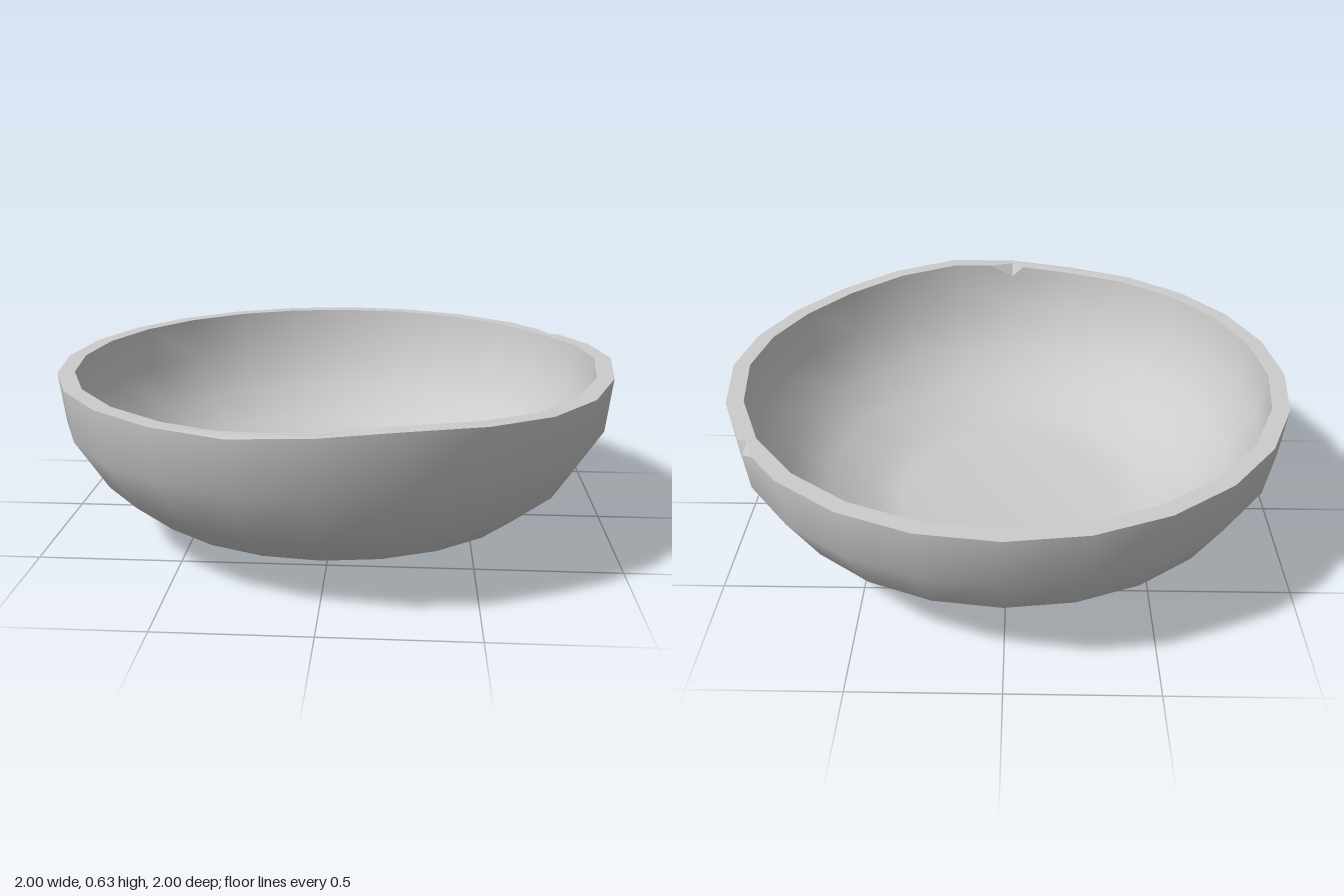
import * as THREE from 'three';

const SIDES = 24;
// Uneven rim: extra height at a few of the 24 corners (0 = +x, 6 = front)
const LIFT = { 0: 0.02, 1: 0.01, 2: 0.003, 3: 0.007, 4: 0.021, 5: 0.032, 6: 0.018, 23: 0.01 };
const RIM_Y = 0.6;

function ringPoint(k, r, y) {
  const a = (k / SIDES) * Math.PI * 2;
  return new THREE.Vector3(r * Math.cos(a), y, r * Math.sin(a));
}

function meshFrom(name, points, index, material) {
  const g = new THREE.BufferGeometry().setFromPoints(points);
  g.setIndex(index);
  g.computeVertexNormals();
  const mesh = new THREE.Mesh(g, material);
  mesh.name = name;
  return mesh;
}

// Smooth wall from a bottom-to-top profile, with one corner of its top edge chipped off.
// Returns the wall, the two chip faces and the edge loop that the rim has to follow.
function wall(name, profile, chip, inward, material) {
  const points = [], index = [], edge = [];
  const tri = (a, b, c) => (inward ? index.push(a, c, b) : index.push(a, b, c));
  const last = profile.length - 1;
  profile.forEach(([r, y], j) => {
    for (let k = 0; k < SIDES; k++) {
      points.push(ringPoint(k, r, j === last ? y + (LIFT[k] || 0) : y));
    }
  });
  const id = (j, k) => j * SIDES + ((k + SIDES) % SIDES);
  for (let j = 0; j < last; j++) {
    for (let k = 0; k < SIDES; k++) {
      tri(id(j, k), id(j + 1, k), id(j, k + 1));
      tri(id(j + 1, k), id(j + 1, k + 1), id(j, k + 1));
    }
  }
  // Chip: start and end on the edge, a point on the rim and a point down the wall
  const corner = points[id(last, chip.k)];
  const start = corner.clone().lerp(points[id(last, chip.k - 1)], chip.before);
  const end = corner.clone().lerp(points[id(last, chip.k + 1)], chip.after);
  const rimPoint = ringPoint(chip.k, chip.reach, corner.y);
  for (let k = 0; k < SIDES; k++) {
    if (k === chip.k) edge.push(start, rimPoint, end);
    else edge.push(points[id(last, k)]);
  }
  const [r0, y0] = profile[last - 1], [r1, y1] = profile[last];
  const t = (y1 - chip.depth - y0) / (y1 - y0);
  const low = ringPoint(chip.k, r0 + (r1 - r0) * t, y1 - chip.depth);
  points[id(last, chip.k)] = low;
  points.push(start, end);
  const n = points.length;
  tri(id(last, chip.k - 1), n - 2, id(last, chip.k));
  tri(n - 1, id(last, chip.k + 1), id(last, chip.k));

  const faces = [start, rimPoint, low, rimPoint, end, low];
  const order = inward ? [0, 2, 1, 3, 5, 4] : [0, 1, 2, 3, 4, 5];
  return {
    edge,
    meshes: [
      meshFrom(name, points, index, material),
      meshFrom(name + 'Chip', faces, order, material),
    ],
  };
}

// Flat ring between the two edge loops
function rim(outer, inner, material) {
  const flat = (loop) => loop.map((p) => new THREE.Vector2(p.x, -p.z));
  const points = [...outer, ...inner];
  const plan = flat(points);
  const index = [];
  for (const [a, b, c] of THREE.ShapeUtils.triangulateShape(flat(outer), [flat(inner)])) {
    const up = THREE.ShapeUtils.area([plan[a], plan[b], plan[c]]) > 0;
    index.push(a, up ? b : c, up ? c : b);
  }
  return meshFrom('rim', points, index, material);
}

export function createModel() {
  const bowl = new THREE.Group();
  bowl.name = 'bowl';
  const grey = new THREE.MeshStandardMaterial({ color: 0xcccccc });
  grey.name = 'light grey';

  const outside = wall(
    'outerWall',
    [[0.46, 0], [0.55, 0.05], [0.735, 0.125], [0.87, 0.24], [0.98, 0.42], [1, RIM_Y]],
    { k: 22, before: 0.38, after: 0.09, reach: 0.972, depth: 0.045 },
    false, grey,
  );
  const inside = wall(
    'innerWall',
    [[0, 0.07], [0.42, 0.07], [0.53, 0.105], [0.69, 0.175], [0.82, 0.28], [0.92, 0.44], [0.94, RIM_Y]],
    { k: 6, before: 0.4, after: 0.2, reach: 0.97, depth: 0.03 },
    true, grey,
  );

  // Flat foot
  const base = new THREE.Mesh(new THREE.CircleGeometry(0.46, SIDES).rotateX(Math.PI / 2), grey);
  base.name = 'base';

  bowl.add(...outside.meshes, ...inside.meshes, rim(outside.edge, inside.edge, grey), base);
  return bowl;
}
